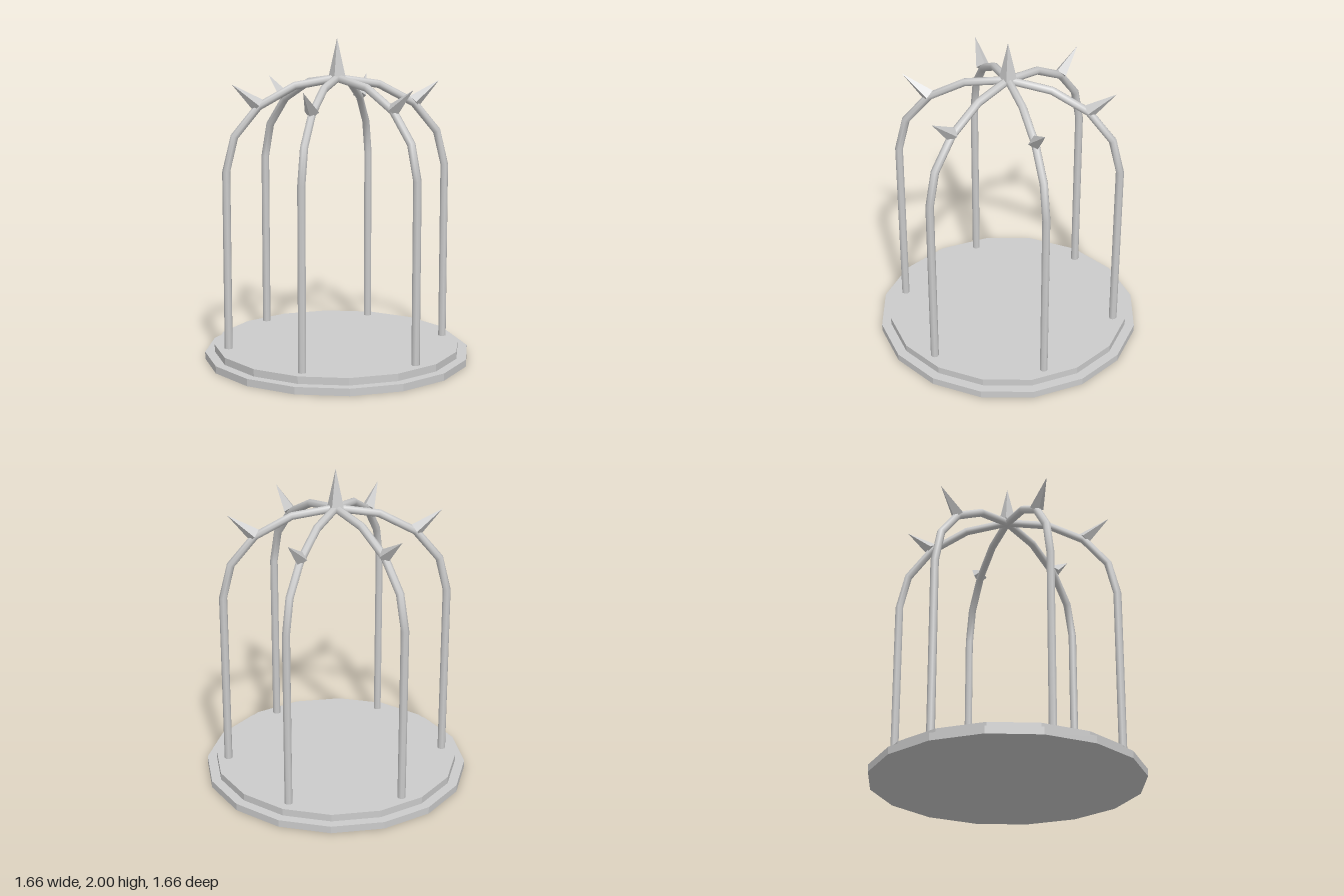
import * as THREE from 'three';

const smooth = new THREE.MeshStandardMaterial({ color: 0xcccccc });
const flat = new THREE.MeshStandardMaterial({ color: 0xcccccc, flatShading: true });

const RADIUS = 0.69, SPRING = 1.2, RISE = 0.555, FOOT = 0.05;
const STEPS = 8;

// Arch path in the yz plane: front post, faceted half ellipse, back post.
class ArchCurve extends THREE.Curve {
  corner(i) {
    if (i <= 0) return new THREE.Vector3(0, FOOT, RADIUS);
    if (i >= STEPS + 2) return new THREE.Vector3(0, FOOT, -RADIUS);
    const a = (i - 1) / STEPS * Math.PI;
    return new THREE.Vector3(0, SPRING + RISE * Math.sin(a), RADIUS * Math.cos(a));
  }
  getPointAt(t) {
    const s = t * (STEPS + 2), i = Math.min(Math.floor(s + 1e-6), STEPS + 1);
    return this.corner(i).lerp(this.corner(i + 1), s - i);
  }
  getTangentAt(t) {
    const a = THREE.MathUtils.clamp((t * (STEPS + 2) - 1) / STEPS, 0, 1) * Math.PI;
    return new THREE.Vector3(0, RISE * Math.cos(a), -RADIUS * Math.sin(a)).normalize();
  }
}

function add(parent, name, geometry, material) {
  const mesh = new THREE.Mesh(geometry, material);
  mesh.name = name;
  parent.add(mesh);
  return mesh;
}

// Four-sided spike whose base is centred on its origin.
function spikeGeometry(radius, length) {
  return new THREE.ConeGeometry(radius, length, 4).translate(0, length / 2, 0);
}

export function createModel() {
  const group = new THREE.Group();
  group.name = 'spikedCage';

  // Stepped base
  add(group, 'lowerBase', new THREE.CylinderGeometry(0.83, 0.83, 0.045, 16), flat).position.y = 0.0225;
  add(group, 'upperBase', new THREE.CylinderGeometry(0.77, 0.77, 0.045, 16), flat).position.y = 0.0675;

  // Three crossing arches, each with a spike on both shoulders
  const archGeometry = new THREE.TubeGeometry(new ArchCurve(), STEPS + 2, 0.025, 8, false);
  const sideSpike = spikeGeometry(0.044, 0.206);
  for (let i = 0; i < 3; i++) {
    const rib = new THREE.Group();
    rib.name = 'rib' + (i + 1);
    rib.rotation.y = i * Math.PI / 3;
    add(rib, 'arch', archGeometry, smooth);
    for (const side of [1, -1]) {
      const spike = add(rib, 'sideSpike', sideSpike, flat);
      spike.position.set(0, 1.6, side * 0.49);
      spike.rotation.x = side * 0.889;
    }
    group.add(rib);
  }

  // Crown spike
  add(group, 'topSpike', spikeGeometry(0.054, 0.235), flat).position.y = 1.765;

  return group;
}
